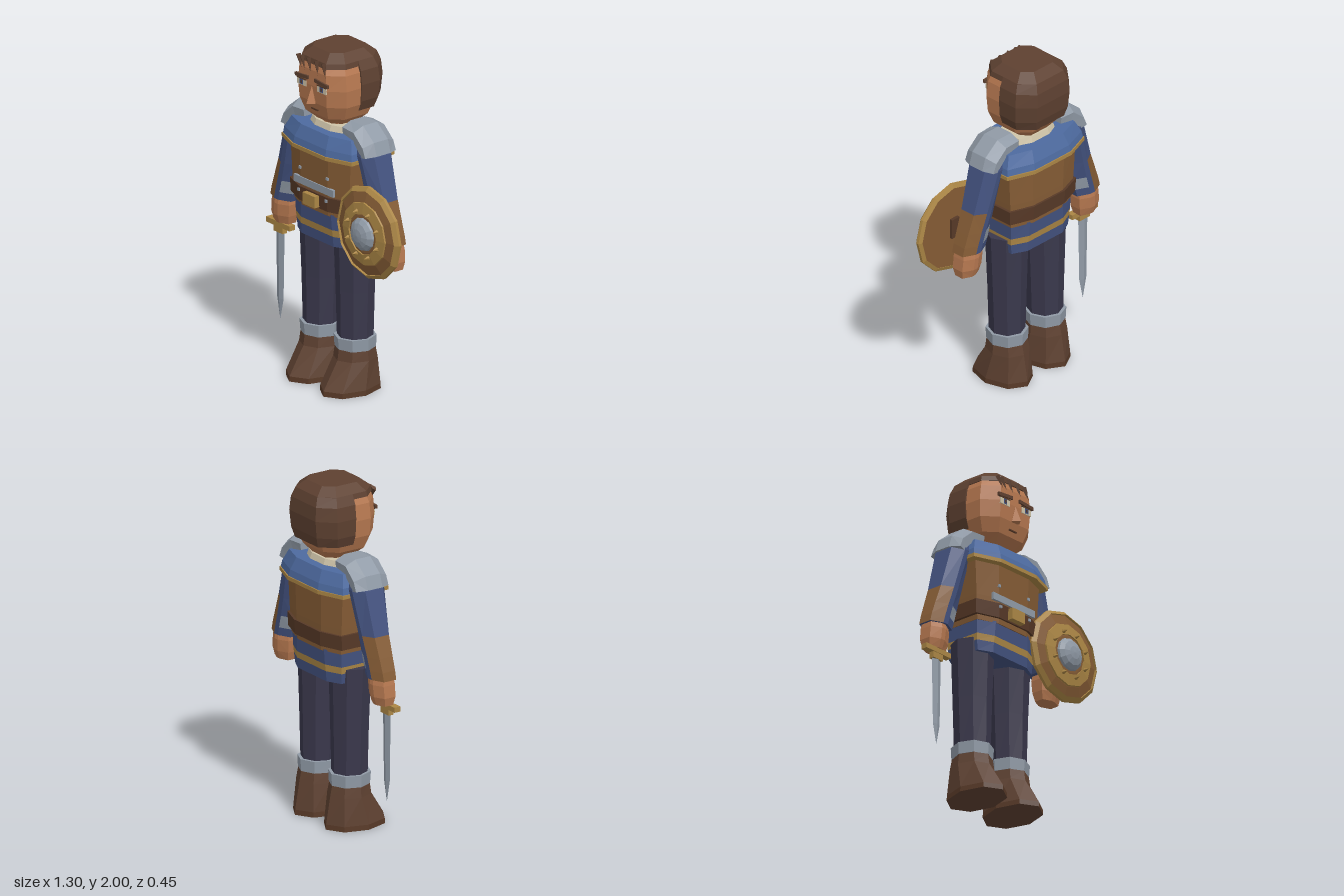
import * as THREE from 'three';

const CX = -0.07, CZ = -0.008; // body axis
const mat = (name, color) => Object.assign(new THREE.MeshStandardMaterial({ color }), { name });

export function createModel() {
  const skin = mat('skin', 0xb67850), brown = mat('dark brown', 0x5e4131), belt = mat('belt leather', 0x573927),
    leather = mat('leather', 0x855c35), blue = mat('mantle blue', 0x4d6a9f), navy = mat('tunic blue', 0x43527f),
    trouser = mat('trousers', 0x3a384c), steel = mat('steel', 0x909aa6), gold = mat('gold', 0xab8645),
    cream = mat('cream', 0xcfc4a9);
  const root = new THREE.Group();

  const add = (name, geo, m, x = 0, y = 0, z = 0, parent = root) => {
    if (geo.index) geo = geo.toNonIndexed();
    geo.computeVertexNormals(); // faceted
    const mesh = new THREE.Mesh(geo, m);
    mesh.name = name;
    mesh.position.set(x, y, z);
    parent.add(mesh);
    return mesh;
  };
  const box = (name, m, x, y, z, w, h, d) => add(name, new THREE.BoxGeometry(w, h, d), m, x, y, z);

  // Skin closed rings with flat faces and end caps; pick(i, j) may recolour single faces
  const loft = (name, rings, m, pick = () => null) => {
    const tris = [], n = rings[0].length, last = rings.length - 1;
    for (let i = 0; i < last; i++) for (let j = 0; j < n; j++) {
      const k = (j + 1) % n, c = pick(i, j) || m;
      const [a, b, d, e] = [rings[i][j], rings[i][k], rings[i + 1][k], rings[i + 1][j]];
      tris.push([c, a, b, d], [c, a, d, e]);
    }
    for (let j = 1; j < n - 1; j++) {
      tris.push([m, rings[0][0], rings[0][j + 1], rings[0][j]]);
      tris.push([m, rings[last][0], rings[last][j], rings[last][j + 1]]);
    }
    const o = rings[0][0], rel = (p) => p.clone().sub(o);
    const volume = tris.reduce((s, [, a, b, c]) => s + rel(a).dot(rel(b).cross(rel(c))), 0);
    const sets = new Map();
    for (const [c, p, q, r] of tris) {
      if (!sets.has(c)) sets.set(c, []);
      sets.get(c).push(...(volume > 0 ? [p, q, r] : [p, r, q]));
    }
    const group = new THREE.Group();
    group.name = name;
    root.add(group);
    for (const [c, pts] of sets) {
      add(`${name} ${c.name}`, new THREE.BufferGeometry().setFromPoints(pts), c, 0, 0, 0, group);
    }
  };
  // Eight-sided ring with flat front and sides
  const oct = (y, x, a, zf, zb, k = 0.47, kz = 0.72, s = 1) => {
    const mid = (zf + zb) / 2, d = (zf - zb) / 2;
    return [[k, 1], [1, kz], [1, -kz], [k, -1], [-k, -1], [-1, -kz], [-1, kz], [-k, 1]]
      .map(([u, v]) => new THREE.Vector3(CX + s * (x + u * a), y, mid + v * d));
  };
  // Eight-sided ring with a corner at the front
  const round = (y, x, a, zf, zb) => Array.from({ length: 8 }, (_, i) => {
    const t = i * Math.PI / 4;
    return new THREE.Vector3(CX + x + a * Math.sin(t), y, (zf + zb) / 2 + (zf - zb) / 2 * Math.cos(t));
  });
  const body = (list) => list.map(([y, a, d, k]) => oct(y, 0, a, CZ + d, CZ - d, k));

  // Torso
  loft('skirt', body([[0.87, 0.225, 0.148, 0.62], [0.93, 0.232, 0.152, 0.6], [0.97, 0.235, 0.156, 0.58],
    [1.06, 0.238, 0.16, 0.55]]), navy, (i) => (i === 1 ? gold : null));
  loft('vest', body([[1.05, 0.24, 0.165], [1.2, 0.252, 0.172], [1.41, 0.265, 0.176]]), leather);
  loft('belt', body([[1.08, 0.26, 0.178], [1.165, 0.264, 0.183]]), belt);
  loft('mantleTrim', body([[1.4, 0.308, 0.214], [1.422, 0.308, 0.214]]), gold);
  loft('mantle', body([[1.41, 0.304, 0.21], [1.46, 0.295, 0.2], [1.53, 0.262, 0.168]]), blue);
  loft('collar', body([[1.52, 0.145, 0.12], [1.563, 0.135, 0.105]]), cream);
  loft('neck', [round(1.5, 0, 0.1, 0.09, -0.1), round(1.62, 0, 0.1, 0.09, -0.1)], skin);
  box('buckle', gold, CX, 1.122, 0.188, 0.105, 0.068, 0.036);
  box('chestPlate', steel, CX, 1.2, 0.163, 0.345, 0.042, 0.016);
  for (const s of [-1, 1]) for (const y of [1.275, 1.145]) {
    box('rivet', steel, CX + s * 0.12, y, y > 1.2 ? 0.167 : 0.176, 0.016, 0.016, 0.012);
  }

  for (const s of [-1, 1]) {
    const side = s > 0 ? 'left' : 'right';
    // Leg and boot
    const x = s * 0.15;
    loft(`${side}Leg`, [round(0.26, x, 0.1, 0.095, -0.11), round(0.6, x, 0.113, 0.1, -0.115),
      round(0.95, x, 0.128, 0.112, -0.122)], trouser);
    loft(`${side}BootCuff`, [round(0.25, x, 0.114, 0.11, -0.126), round(0.32, x, 0.118, 0.116, -0.13)], steel);
    loft(`${side}Boot`, [round(0, x, 0.14, 0.222, -0.168), round(0.03, x, 0.138, 0.22, -0.166),
      round(0.19, x, 0.118, 0.12, -0.138), round(0.255, x, 0.11, 0.11, -0.124)], brown,
    (i) => (i === 0 ? belt : null));

    // Arm with outer leather patch and inner steel band
    const limb = (list) => list.map(([y, inner, outer, d]) =>
      oct(y, (inner + outer) / 2, (outer - inner) / 2, CZ + d, CZ - d, 0.2, 0.55, s));
    loft(`${side}Arm`, limb([[1.54, 0.23, 0.36, 0.09], [1.45, 0.235, 0.392, 0.108], [1.2, 0.3, 0.465, 0.088],
      [1.085, 0.33, 0.507, 0.08], [1.01, 0.35, 0.533, 0.077], [0.96, 0.365, 0.546, 0.075]]), navy,
    (i, j) => (i >= 2 && j < 3 ? leather : i === 3 && j > 3 && j < 7 ? steel : null));
    loft(`${side}Hand`, limb([[0.97, 0.39, 0.53, 0.062], [0.93, 0.385, 0.538, 0.07],
      [0.86, 0.392, 0.545, 0.066], [0.81, 0.405, 0.535, 0.05]]), skin);

    // Shoulder guard: top edge and lower edge at each rib
    const ribs = [[0.17, 1.61, 0.17, 1.545], [0.28, 1.61, 0.25, 1.53], [0.375, 1.535, 0.31, 1.47],
      [0.4, 1.46, 0.33, 1.445]];
    loft(`${side}ShoulderGuard`, ribs.map(([ox, oy, ix, iy]) =>
      [[0, -0.105], [0.6, -0.11], [1, -0.05], [1, 0.05], [0.6, 0.11], [0, 0.105]].map(([t, z]) =>
        new THREE.Vector3(CX + s * (ix + (ox - ix) * t), iy + (oy - iy) * t, CZ + z))), steel);
  }

  // Head
  const skull = (y, a, zf, zb) => oct(y, 0, a, zf, zb, 0.6, 0.56);
  loft('head', [skull(1.57, 0.105, 0.09, -0.11), skull(1.62, 0.165, 0.145, -0.15), skull(1.7, 0.198, 0.172, -0.18),
    skull(1.8, 0.206, 0.18, -0.19), skull(1.89, 0.194, 0.176, -0.185), skull(1.95, 0.168, 0.155, -0.17)], skin);
  const back = [skull(1.66, 0.185, 0.18, -0.195), skull(1.72, 0.206, 0.18, -0.212), skull(1.82, 0.213, 0.18, -0.222),
    skull(1.9, 0.203, 0.18, -0.215), skull(1.955, 0.178, 0.17, -0.195)];
  back.forEach((ring) => ring.forEach((p) => { p.z = Math.min(p.z, -0.005); }));
  loft('backHair', back, brown);
  loft('topHair', [skull(1.925, 0.185, 0.172, -0.202), skull(1.955, 0.178, 0.166, -0.195),
    skull(2, 0.125, 0.112, -0.142)], brown);
  [[-0.115, 0.5], [-0.085, 0.45], [-0.03, 0.35], [0.035, 0.3], [0.1, 0.35]].forEach(([x, tilt]) => {
    const lock = add('fringe', new THREE.ConeGeometry(0.022, 0.085, 4), brown, CX + x, 1.91, 0.172);
    lock.rotation.set(-0.12, 0, Math.PI + tilt);
    lock.scale.z = 0.6;
  });

  // Face
  const nose = add('nose', new THREE.ConeGeometry(0.04, 0.1, 4), skin, CX, 1.75, 0.181);
  nose.scale.x = 0.75;
  box('mouth', belt, CX, 1.655, 0.16, 0.06, 0.008, 0.008);
  for (const s of [-1, 1]) {
    box('eye', cream, CX + s * 0.088, 1.798, 0.179, 0.076, 0.036, 0.009);
    box('iris', navy, CX + s * 0.088, 1.8, 0.182, 0.026, 0.03, 0.008);
    box('pupil', belt, CX + s * 0.088, 1.8, 0.184, 0.012, 0.016, 0.007);
    box('eyelid', belt, CX + s * 0.088, 1.819, 0.182, 0.08, 0.006, 0.009);
    box('eyebrow', brown, CX + s * 0.085, 1.836, 0.181, 0.115, 0.02, 0.014).rotation.z = -s * 0.08;
  }

  // Dagger in the right hand
  const DX = -0.548, DZ = 0.017;
  box('daggerGuard', gold, DX, 0.796, DZ, 0.205, 0.03, 0.04);
  box('daggerCollar', gold, DX, 0.765, DZ, 0.08, 0.04, 0.032);
  const diamond = (y, a, d) => [[a, 0], [0, d], [-a, 0], [0, -d]].map(([u, v]) => new THREE.Vector3(DX + u, y, DZ + v));
  loft('daggerBlade', [diamond(0.23, 0.001, 0.001), diamond(0.35, 0.028, 0.01), diamond(0.76, 0.037, 0.014)], steel);

  // Shield on the left arm
  const SX = 0.378, SY = 1.047;
  const turned = (name, m, profile) => add(name, new THREE.LatheGeometry(profile.map(([r, z]) =>
    new THREE.Vector2(r, z)), 12).rotateX(Math.PI / 2), m, SX, SY, 0);
  turned('shieldFace', leather, [[0, 0.118], [0.255, 0.118], [0.255, 0.145], [0.19, 0.166], [0.11, 0.178], [0, 0.18]]);
  turned('shieldRim', gold, [[0.25, 0.115], [0.273, 0.125], [0.273, 0.142], [0.25, 0.162], [0.25, 0.115]]);
  turned('shieldRing', gold, [[0.12, 0.165], [0.188, 0.16], [0.185, 0.176], [0.12, 0.186], [0.12, 0.165]]);
  turned('shieldBoss', steel, [[0.098, 0.175], [0.094, 0.192], [0.072, 0.211], [0.038, 0.223], [0, 0.227]]);
  for (let i = 0; i < 8; i++) {
    const t = (i + 0.5) * Math.PI / 4;
    add('shieldStud', new THREE.ConeGeometry(0.014, 0.034, 6).rotateX(Math.PI / 2), gold,
      SX + 0.135 * Math.sin(t), SY + 0.135 * Math.cos(t), 0.197);
  }
  box('shieldStrap', belt, 0.28, SY, 0.11, 0.035, 0.12, 0.022);
  box('shieldGrip', belt, 0.378, SY, 0.11, 0.06, 0.12, 0.022);
  return root;
}
